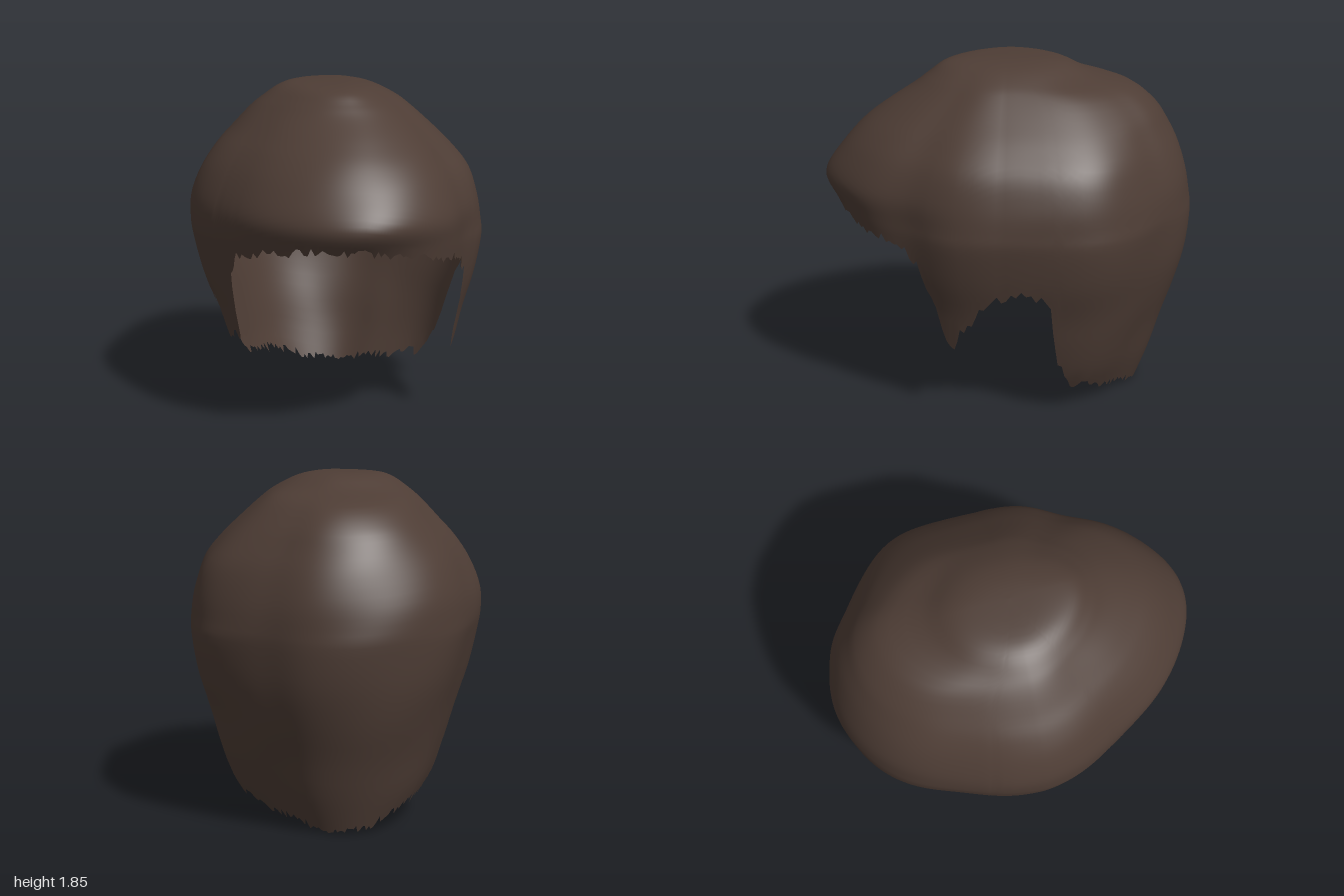
import * as THREE from 'three';

// Horizontal sections from crown to nape: height, then reach to front, back, left, right
const SECTIONS = [
  [1.85, 0, 0, 0, 0],
  [1.845, 0.20, 0.19, 0.11, 0.20],
  [1.82, 0.34, 0.32, 0.22, 0.30],
  [1.76, 0.43, 0.45, 0.34, 0.39],
  [1.70, 0.51, 0.67, 0.42, 0.46],
  [1.60, 0.66, 0.80, 0.53, 0.555],
  [1.50, 0.79, 0.865, 0.63, 0.65],
  [1.38, 0.90, 0.925, 0.725, 0.73],
  [1.23, 0.995, 0.975, 0.775, 0.79],
  [1.10, 0.975, 0.995, 0.795, 0.80],
  [1.00, 0.95, 1.00, 0.80, 0.785],
  [0.80, 0.92, 0.98, 0.765, 0.735],
  [0.60, 0.88, 0.93, 0.705, 0.67],
  [0.40, 0.84, 0.86, 0.655, 0.615],
  [0.20, 0.80, 0.80, 0.58, 0.55],
  [0.00, 0.76, 0.73, 0.45, 0.42],
];

// Hem height by angle from the front: fringe, sideburn lock, ear arch, nape
const HEM = [
  [0, 1.13], [0.4, 1.11], [0.72, 1.06], [0.95, 1.01], [1.05, 0.92], [1.12, 0.8],
  [1.18, 0.57], [1.34, 0.55], [1.42, 0.67], [1.53, 0.75], [1.67, 0.8], [1.78, 0.78],
  [1.84, 0.70], [1.89, 0.42], [2.0, 0.21], [2.42, 0.15], [2.9, 0.07], [3.15, 0.05],
];

function hemHeight(t) {
  const a = Math.abs(t);
  const k = Math.max(1, HEM.findIndex((p) => p[0] >= a));
  const [a0, y0] = HEM[k - 1];
  const [a1, y1] = HEM[k];
  const y = THREE.MathUtils.lerp(y0, y1, (a - a0) / (a1 - a0));
  return y - 0.05 * Math.sin(t) * Math.abs(Math.cos(t));
}

// Section index, with fraction, for a height
function levelAt(y) {
  let k = 1;
  while (k < SECTIONS.length - 1 && SECTIONS[k][0] > y) k++;
  const top = SECTIONS[k - 1][0];
  return k - 1 + (top - y) / (top - SECTIONS[k][0]);
}

// Smooth value of a section column between sections
function sample(u, column) {
  const last = SECTIONS.length - 1;
  const k = Math.min(Math.floor(u), last - 1);
  const f = u - k;
  const at = (i) => SECTIONS[THREE.MathUtils.clamp(i, 0, last)][column];
  const m0 = (at(k + 1) - at(k - 1)) / 2;
  const m1 = (at(k + 2) - at(k)) / 2;
  return at(k) * (2 * f ** 3 - 3 * f * f + 1) + m0 * (f ** 3 - 2 * f * f + f)
    + at(k + 1) * (3 * f * f - 2 * f ** 3) + m1 * (f ** 3 - f * f);
}

const hump = (t, centre, width) => Math.exp(-(((t - centre) / width) ** 2));

function shellPoint(t, u) {
  const s = Math.sin(t);
  const c = Math.cos(t);
  const front = Math.max(c, 0);
  const body = Math.min(1, u / 6);
  // fuller behind the left ear with a soft groove after it, flatter behind the right ear
  const back = 0.065 * hump(t, 2.05, 0.27) - 0.018 * hump(t, 2.6, 0.18) - 0.035 * hump(t, -2.05, 0.26);
  // temples pressed in
  const temples = 0.045 * hump(t, 1.02, 0.2) + 0.03 * hump(t, -1.1, 0.25);
  // fringe tucks under at the middle of the forehead
  const tuck = 0.045 * hump(t, 0, 0.6) * THREE.MathUtils.smoothstep(u, 8, 9.5);
  const uneven = 0.005 * Math.sin(5 * t + u) * Math.sin(0.9 * u + 2 * t);
  const scale = 1 + body * (back - temples + uneven) - tuck;
  const x = sample(u, s > 0 ? 3 : 4) * s * (1 - 0.17 * front * front) * scale + 0.06 * front * body;
  const z = sample(u, c > 0 ? 1 : 2) * c * scale;
  return [x, sample(u, 0), z];
}

function seededRandom(seed) {
  return () => {
    seed = (seed * 16807) % 2147483647;
    return seed / 2147483647;
  };
}

function hairGeometry() {
  const columns = 240;
  const rows = 44;
  const random = seededRandom(77);
  const positions = [];
  const indices = [];
  for (let i = 0; i < columns; i++) {
    const t = -Math.PI + (i / columns) * Math.PI * 2;
    const hem = hemHeight(t);
    const end = levelAt(hem);
    // ragged strand tips, longest on the sideburn locks
    const lock = hump(Math.abs(t), 1.28, 0.14);
    const tip = Math.max(0, hem - random() * (0.055 + 0.11 * lock));
    for (let j = 0; j <= rows; j++) {
      const u = j < rows ? (end * j) / (rows - 0.5) : levelAt(tip);
      positions.push(...shellPoint(t, u));
    }
  }
  const stride = rows + 1;
  for (let i = 0; i < columns; i++) {
    const next = (i + 1) % columns;
    for (let j = 0; j < rows; j++) {
      const a = i * stride + j;
      const b = next * stride + j;
      if (j > 0) indices.push(a, a + 1, b, b, a + 1, b + 1);
      else indices.push(a, a + 1, b + 1);
    }
  }
  const geometry = new THREE.BufferGeometry();
  geometry.setAttribute('position', new THREE.Float32BufferAttribute(positions, 3));
  geometry.setIndex(indices);
  geometry.computeVertexNormals();
  return geometry;
}

export function createModel() {
  const group = new THREE.Group();
  group.name = 'hairpiece';
  const brown = new THREE.MeshStandardMaterial({ color: 0x4e3d35, side: THREE.DoubleSide });
  brown.name = 'dark brown';
  const hair = new THREE.Mesh(hairGeometry(), brown);
  hair.name = 'hairShell';
  group.add(hair);
  return group;
}
